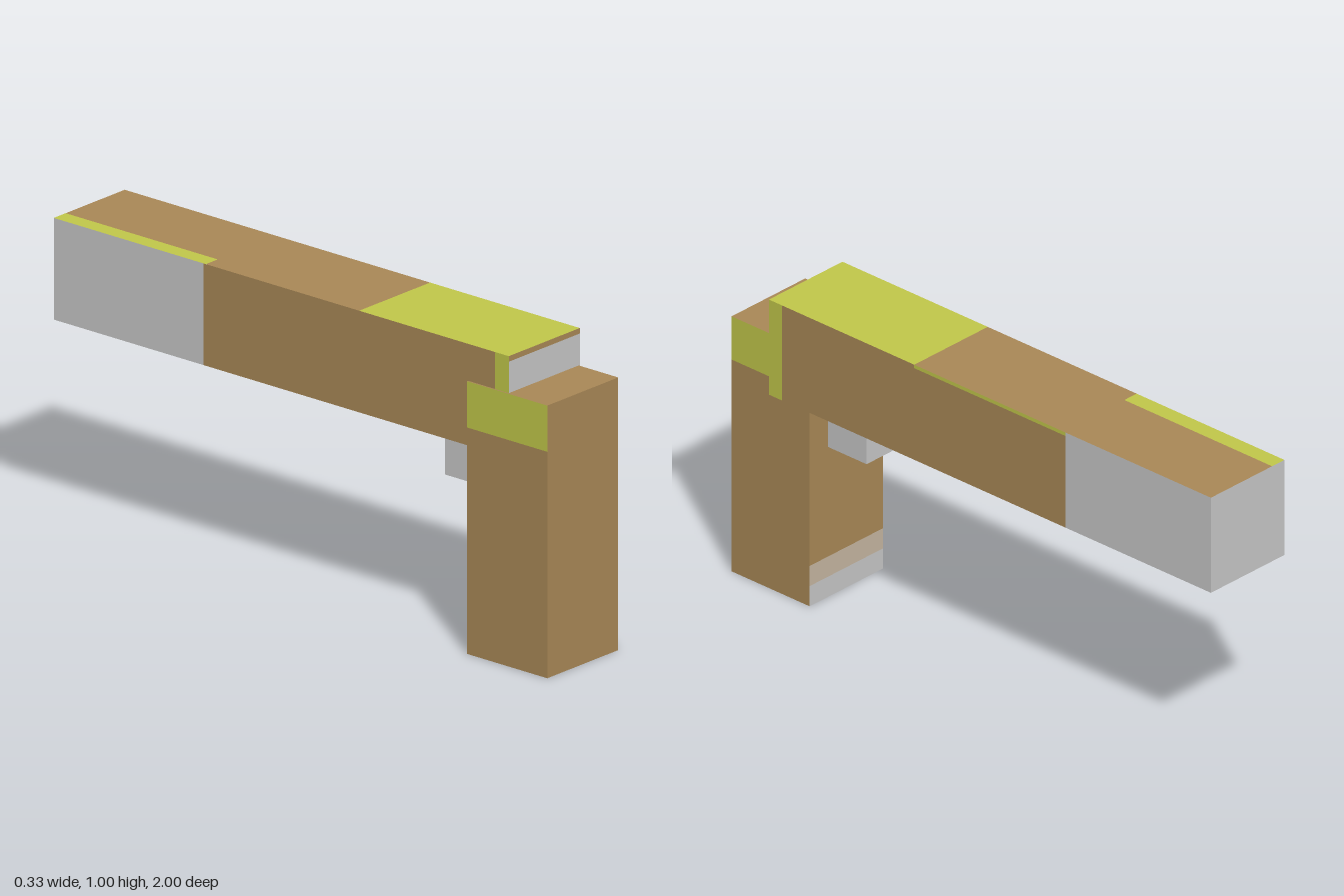
import * as THREE from 'three';

const material = (name, color) => {
  const m = new THREE.MeshStandardMaterial({ color });
  m.name = name;
  return m;
};

// Orientation of a flat panel for each side of a block
const SIDES = {
  left: { axis: 'x', rot: [0, Math.PI / 2, 0] },
  right: { axis: 'x', rot: [0, -Math.PI / 2, 0] },
  top: { axis: 'y', rot: [-Math.PI / 2, 0, 0] },
  bottom: { axis: 'y', rot: [Math.PI / 2, 0, 0] },
  front: { axis: 'z', rot: [0, 0, 0] },
  back: { axis: 'z', rot: [0, Math.PI, 0] },
};

// One coloured panel: a and b run along (z, y), (x, z) or (x, y)
function panel(side, at, [a0, a1, b0, b1, mat]) {
  const { axis, rot } = SIDES[side];
  const mesh = new THREE.Mesh(new THREE.PlaneGeometry(a1 - a0, b1 - b0), mat);
  const a = (a0 + a1) / 2, b = (b0 + b1) / 2;
  mesh.rotation.set(...rot);
  if (axis === 'x') mesh.position.set(at, b, a);
  else if (axis === 'y') mesh.position.set(a, at, b);
  else mesh.position.set(a, b, at);
  return mesh;
}

// A block whose six sides are tiled with coloured panels
function block(name, planes, tiles) {
  const group = new THREE.Group();
  group.name = name;
  for (const side in tiles) {
    tiles[side].forEach((tile, i) => {
      const mesh = panel(side, planes[side], tile);
      mesh.name = `${name} ${side} panel ${i + 1}`;
      group.add(mesh);
    });
  }
  return group;
}

export function createModel() {
  const wood = material('wood brown', 0xaa8957);
  const lime = material('lime yellow', 0xc2c84a);
  const grey = material('light grey', 0xc8c8c8);
  const beige = material('greyish beige', 0xc6b7a2);

  const model = new THREE.Group();
  model.name = 'blockPistol';

  // Barrel: long horizontal beam
  const L = 0.165, R = -0.163, T = 1.005, B = 0.675, F = 0.84, K = -1;
  model.add(block('barrel', { left: L, right: R, top: T, bottom: B, front: F, back: K }, {
    left: [
      [K, -0.395, B, T, grey],
      [-0.395, 0.235, B, 0.993, wood],
      [-0.395, 0.235, 0.993, T, lime],
      [0.235, 0.785, B, T, wood],
      [0.785, F, B, T, lime],
    ],
    right: [
      [K, -0.395, B, T, grey],
      [-0.395, 0.785, B, T, wood],
      [0.785, F, B, T, lime],
    ],
    top: [
      [R, -0.108, K, -0.385, lime],
      [-0.108, L, K, -0.385, wood],
      [R, L, -0.385, 0.235, wood],
      [R, L, 0.235, F, lime],
    ],
    bottom: [
      [0.11, L, K, -0.385, grey],
      [0.11, L, -0.385, 0.23, lime],
      [0.11, L, 0.23, F, wood],
      [R, 0.11, K, 0.23, wood],
      [R, 0.11, 0.23, F, lime],
    ],
    front: [
      [R, L, B, 0.987, grey],
      [R, L, 0.987, T, wood],
    ],
    back: [[R, L, B, T, grey]],
  }));

  // Grip: upright block with a lime cap band and grey foot
  const gl = 0.16, gr = -0.168, gt = 0.885, gk = 0.675, band = 0.735;
  const gripSide = [
    [gk, 1, 0, band, wood],
    [gk, 1, band, gt, lime],
  ];
  model.add(block('grip', { left: gl, right: gr, top: gt, bottom: 0, front: 1, back: gk }, {
    left: gripSide,
    right: gripSide,
    top: [[gr, gl, gk, 1, wood]],
    bottom: [
      [gr, gl, gk, 0.945, wood],
      [gr, gl, 0.945, 1, grey],
    ],
    front: [[gr, gl, 0, gt, wood]],
    back: [
      [gr, gl, 0, 0.07, grey],
      [gr, gl, 0.07, 0.14, beige],
      [gr, gl, 0.14, gt, wood],
    ],
  }));

  // Trigger: small cube in the corner under the barrel
  const trigger = new THREE.Mesh(new THREE.BoxGeometry(0.163, 0.155, 0.16), grey);
  trigger.name = 'trigger';
  trigger.position.set(-0.004, 0.5975, 0.595);
  model.add(trigger);

  return model;
}
